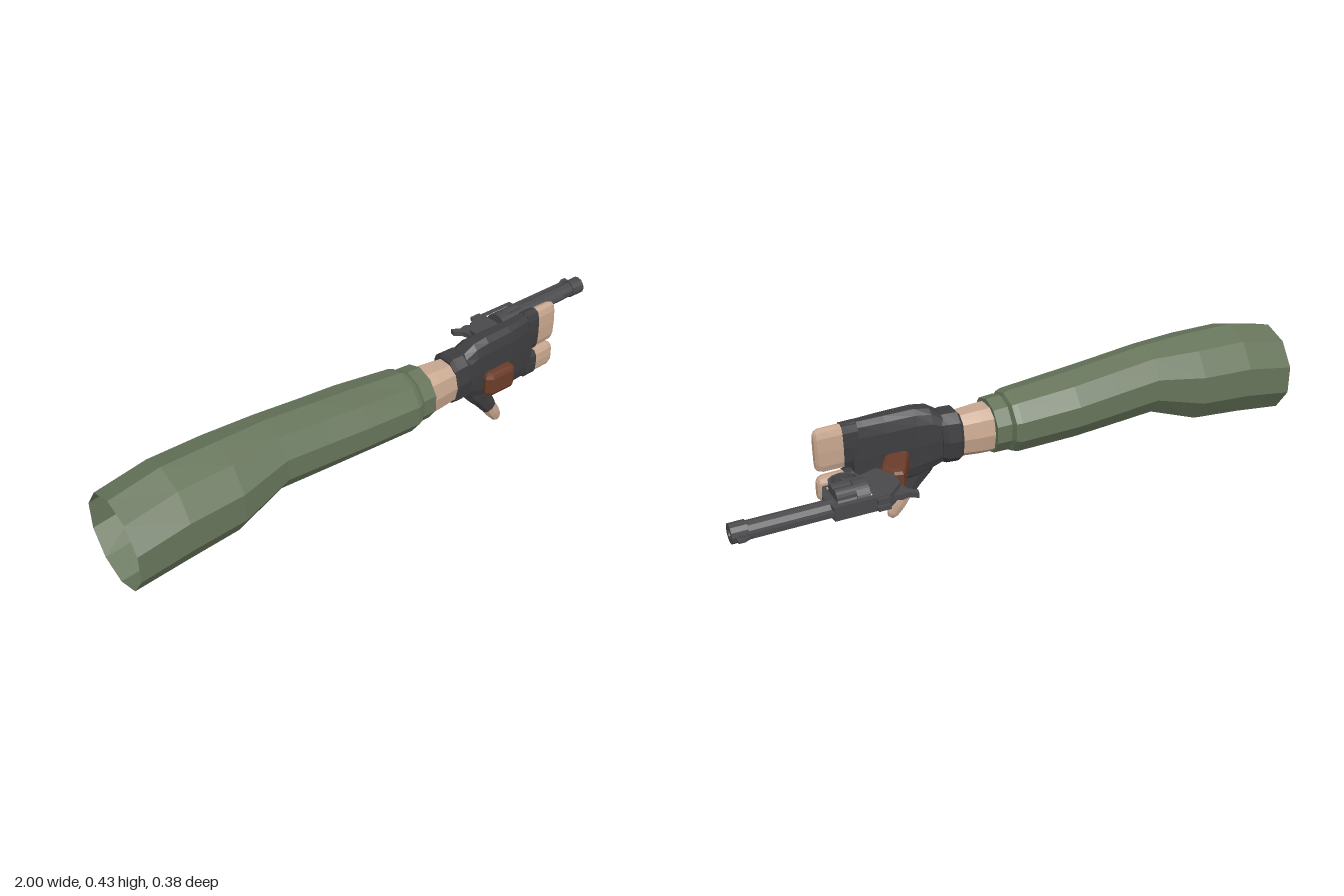
import * as THREE from 'three';

const mat = (name, color, side = THREE.FrontSide) => {
  const m = new THREE.MeshStandardMaterial({ color, side });
  m.name = name;
  return m;
};

// Faceted skin over rings [x, centreY, centreZ, radiusY, radiusZ]; p < 1 makes the ring boxier
function loft(rings, { n = 10, p = 1, phase = 0, caps = true } = {}) {
  const pos = [], idx = [];
  const pw = (v) => Math.sign(v) * Math.abs(v) ** p;
  for (const [x, cy, cz, ry, rz] of rings) {
    for (let k = 0; k < n; k++) {
      const a = phase + (k / n) * Math.PI * 2;
      pos.push(x, cy + ry * pw(Math.sin(a)), cz + rz * pw(Math.cos(a)));
    }
  }
  for (let i = 0; i < rings.length - 1; i++) {
    for (let k = 0; k < n; k++) {
      const a = i * n + k, b = i * n + (k + 1) % n;
      idx.push(a, a + n, b, b, a + n, b + n);
    }
  }
  if (caps) {
    const last = (rings.length - 1) * n;
    for (let k = 1; k < n - 1; k++) {
      idx.push(0, k, k + 1, last, last + k + 1, last + k);
    }
  }
  const g = new THREE.BufferGeometry();
  g.setAttribute('position', new THREE.Float32BufferAttribute(pos, 3));
  g.setIndex(idx);
  return flat(g);
}

function flat(g) {
  const f = g.index ? g.toNonIndexed() : g;
  f.computeVertexNormals();
  return f;
}

const shapeOf = (pts) => new THREE.Shape(pts.map(([x, y]) => new THREE.Vector2(x, y)));

// Plate centred on its own thickness
function plate(shape, depth, bevel = 0) {
  const g = new THREE.ExtrudeGeometry(shape, {
    depth: depth - 2 * bevel, bevelEnabled: bevel > 0, bevelSize: bevel, bevelOffset: -bevel,
    bevelThickness: bevel, bevelSegments: 2, curveSegments: 6,
  });
  g.translate(0, 0, -(depth - 2 * bevel) / 2);
  return flat(g);
}

export function createModel() {
  const sleeveGreen = mat('sleeve green', 0x66745a, THREE.DoubleSide);
  const skin = mat('skin', 0xc6a58d);
  const glove = mat('glove charcoal', 0x3d3d40);
  const steel = mat('gun steel', 0x49494c);
  const wood = mat('grip brown', 0x6a3c29);

  const model = new THREE.Group();
  const add = (parent, name, geometry, material) => {
    const m = new THREE.Mesh(geometry, material);
    m.name = name;
    parent.add(m);
    return m;
  };

  // Sleeve, open at the shoulder end, with a stepped cuff
  add(model, 'sleeve', loft([
    [-1, 0.245, 0.045, 0.155, 0.148],
    [-0.83, 0.272, 0.047, 0.163, 0.149],
    [-0.65, 0.28, 0.048, 0.155, 0.145],
    [-0.48, 0.31, 0.045, 0.12, 0.116],
    [-0.32, 0.296, 0.044, 0.116, 0.116],
    [-0.18, 0.285, 0.043, 0.112, 0.118],
    [0.02, 0.27, 0.05, 0.106, 0.107],
    [0.038, 0.27, 0.05, 0.1, 0.1],
    [0.045, 0.27, 0.05, 0.085, 0.08],
    [0.05, 0.271, 0.05, 0.095, 0.091],
    [0.1, 0.27, 0.05, 0.093, 0.089],
    [0.1, 0.268, 0.05, 0.075, 0.07],
  ], { phase: Math.PI / 10, caps: false }), sleeveGreen);

  // Wrist and glove
  add(model, 'wrist', loft([
    [0.05, 0.266, 0.05, 0.083, 0.074],
    [0.14, 0.266, 0.051, 0.08, 0.068],
    [0.23, 0.266, 0.053, 0.073, 0.058],
  ], { p: 0.8 }), skin);
  add(model, 'gloveCuff', loft([
    [0.205, 0.268, 0.05, 0.08, 0.06],
    [0.215, 0.27, 0.05, 0.09, 0.066],
    [0.255, 0.272, 0.052, 0.09, 0.064],
    [0.272, 0.272, 0.055, 0.084, 0.056],
  ], { p: 0.75 }), glove);
  add(model, 'palm', loft([
    [0.26, 0.272, 0.056, 0.084, 0.052],
    [0.3, 0.275, 0.06, 0.108, 0.05],
    [0.35, 0.27, 0.063, 0.121, 0.046],
    [0.45, 0.267, 0.063, 0.124, 0.041],
    [0.52, 0.267, 0.059, 0.125, 0.033],
    [0.56, 0.267, 0.057, 0.126, 0.029],
  ], { n: 14, p: 0.65 }), glove);

  // Two blocks of fingers, gloved to the first joint
  for (const [name, cy, ry] of [['upperFingers', 0.317, 0.077], ['lowerFingers', 0.185, 0.047]]) {
    add(model, name + 'Glove', loft([
      [0.54, cy, 0.057, ry, 0.03], [0.588, cy, 0.057, ry, 0.028],
    ], { n: 12, p: 0.65 }), glove);
    add(model, name, loft([
      [0.58, cy, 0.057, ry - 0.003, 0.026],
      [0.655, cy, 0.056, ry - 0.003, 0.023],
      [0.668, cy, 0.056, ry - 0.008, 0.019],
      [0.676, cy, 0.056, ry - 0.018, 0.01],
    ], { n: 12, p: 0.65 }), skin);
  }

  // Thumb, pointing down and forward
  const thumb = new THREE.Group();
  thumb.name = 'thumb';
  thumb.position.set(0.335, 0.17, 0.068);
  thumb.rotation.z = -1;
  model.add(thumb);
  add(thumb, 'thumbGlove', loft([
    [-0.05, 0.01, 0, 0.06, 0.03],
    [0, 0.005, 0, 0.05, 0.031],
    [0.05, 0, 0, 0.034, 0.028],
    [0.098, 0, 0, 0.028, 0.026],
  ], { n: 10, p: 0.8 }), glove);
  add(thumb, 'thumbTip', loft([
    [0.09, 0, 0, 0.026, 0.024],
    [0.14, 0, 0, 0.025, 0.021],
    [0.175, 0, 0, 0.019, 0.015],
    [0.188, 0, 0, 0.01, 0.008],
  ], { n: 10, p: 0.8 }), skin);

  // Revolver, drawn upright in its own frame and laid on its side (its top faces back)
  const gun = new THREE.Group();
  gun.name = 'revolver';
  gun.position.y = 0.23;
  gun.rotation.x = -Math.PI / 2;
  model.add(gun);

  const frame = shapeOf([[0.47, 0.06], [0.475, 0.13], [0.51, 0.165], [0.53, 0.18], [0.7, 0.178],
    [0.71, 0.1], [0.69, 0.045], [0.57, 0.035], [0.51, 0.015], [0.485, 0.035]]);
  frame.holes.push(new THREE.Path([[0.575, 0.055], [0.575, 0.16], [0.682, 0.16], [0.682, 0.055]]
    .map(([x, y]) => new THREE.Vector2(x, y))));
  add(gun, 'frame', plate(frame, 0.046), steel);

  // Cylinder: plain drum at the rear, fluted in front
  const drum = (name, x, length, flute) => {
    const pts = [];
    for (let i = 0; i < 36; i++) {
      const a = (i / 36) * Math.PI * 2;
      const r = 0.052 - flute * Math.max(0, Math.cos(6 * a));
      pts.push([r * Math.cos(a), r * Math.sin(a)]);
    }
    const g = plate(shapeOf(pts), length);
    g.rotateY(Math.PI / 2);
    g.translate(x, 0.107, 0);
    add(gun, name, g, steel);
  };
  drum('cylinderRear', 0.598, 0.042, 0);
  drum('cylinderFluted', 0.649, 0.06, 0.008);

  // Barrel, muzzle ring and ejector rod
  const rod = (name, x0, x1, u, r, sides) => {
    const g = new THREE.CylinderGeometry(r, r, x1 - x0, sides);
    g.rotateZ(-Math.PI / 2);
    g.translate((x0 + x1) / 2, u, 0);
    add(gun, name, flat(g), steel);
  };
  rod('barrel', 0.69, 0.99, 0.134, 0.027, 10);
  rod('ejectorRod', 0.7, 0.9, 0.112, 0.013, 8);

  // Muzzle with a real bore
  const ring = new THREE.Shape().absarc(0, 0, 0.031, 0, Math.PI * 2);
  ring.holes.push(new THREE.Path().absarc(0, 0, 0.014, 0, Math.PI * 2, true));
  const muzzle = plate(ring, 0.05);
  muzzle.rotateY(Math.PI / 2);
  muzzle.translate(0.975, 0.134, 0);
  add(gun, 'muzzle', muzzle, steel);

  const box = (name, x, u, sx, su, sz, z = 0) => {
    const g = new THREE.BoxGeometry(sx, su, sz);
    g.translate(x, u, z);
    add(gun, name, g, steel);
  };
  box('barrelRib', 0.835, 0.164, 0.29, 0.026, 0.016);
  for (const s of [-1, 1]) box('rearSight', 0.55, 0.182, 0.04, 0.02, 0.014, s * 0.013);
  add(gun, 'frontSight', plate(shapeOf([[0.92, 0.165], [0.97, 0.192], [0.99, 0.192], [0.99, 0.16]]), 0.008), steel);

  // Hammer, trigger and guard
  add(gun, 'hammer', plate(shapeOf([[0.5, 0.11], [0.468, 0.125], [0.46, 0.15], [0.435, 0.17],
    [0.44, 0.19], [0.465, 0.172], [0.49, 0.178], [0.515, 0.165]]), 0.018), steel);
  add(gun, 'trigger', plate(shapeOf([[0.595, 0.045], [0.615, 0.045], [0.61, 0.015],
    [0.62, -0.005], [0.612, -0.006], [0.598, 0.012]]), 0.012), steel);
  const guard = new THREE.Shape().absellipse(0.612, 0.016, 0.05, 0.041, 0, Math.PI * 2);
  guard.holes.push(new THREE.Path().absellipse(0.612, 0.016, 0.042, 0.033, 0, Math.PI * 2, true));
  add(gun, 'triggerGuard', plate(guard, 0.026), steel);

  // Grip passing through the hand, thicker towards the butt
  const grip = plate(shapeOf([[0.445, 0.088], [0.475, 0.08], [0.5, 0.04], [0.485, 0.01], [0.455, -0.04],
    [0.443, -0.09], [0.442, -0.13], [0.425, -0.142], [0.34, -0.142], [0.32, -0.125], [0.325, -0.1],
    [0.365, -0.05], [0.4, 0.01], [0.425, 0.06]]), 0.086, 0.016);
  const gp = grip.attributes.position;
  for (let i = 0; i < gp.count; i++) {
    gp.setZ(i, gp.getZ(i) * (1 - 1.1 * (gp.getY(i) + 0.145)));
  }
  grip.computeVertexNormals();
  add(gun, 'grip', grip, wood);

  return model;
}
